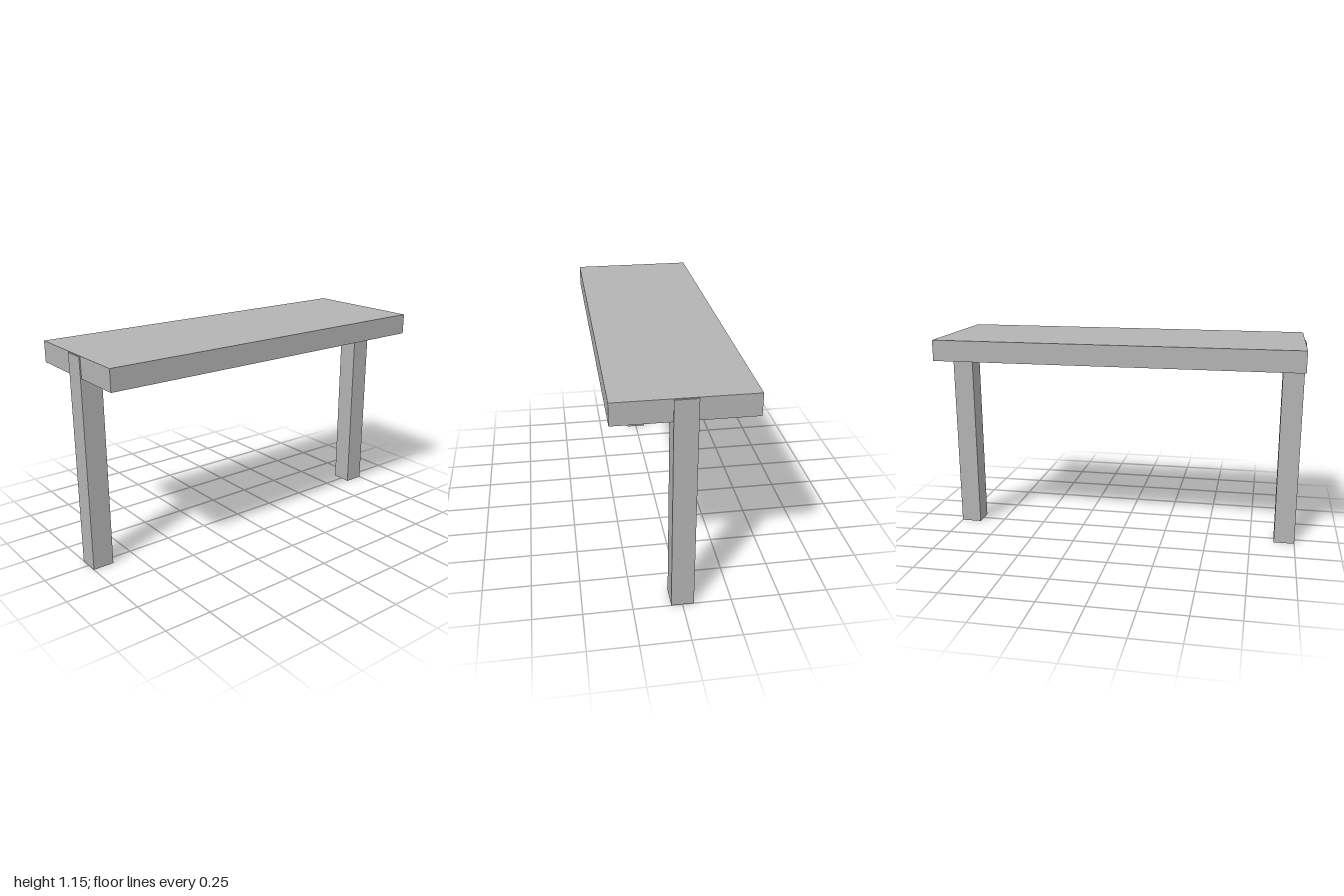
import * as THREE from 'three';

export function createModel() {
  const model = new THREE.Group();
  model.name = 'table';

  const grey = new THREE.MeshStandardMaterial({ color: 0xb3b3b3 });
  grey.name = 'plain grey';

  // Adds a named box centred on x, z, spanning bottom to top in height
  const addBox = (name, width, depth, bottom, top, x = 0) => {
    const mesh = new THREE.Mesh(new THREE.BoxGeometry(width, top - bottom, depth), grey);
    mesh.name = name;
    mesh.position.set(x, (bottom + top) / 2, 0);
    model.add(mesh);
  };

  // Slab top
  addBox('tableTop', 1.988, 0.688, 1.04, 1.154);

  // Square posts, standing slightly proud of the slab ends
  const post = 0.115;
  for (const [name, side] of [['leftLeg', 1], ['rightLeg', -1]]) {
    addBox(name, post, post, 0, 1.15, side * (1 - post / 2));
  }

  return model;
}
